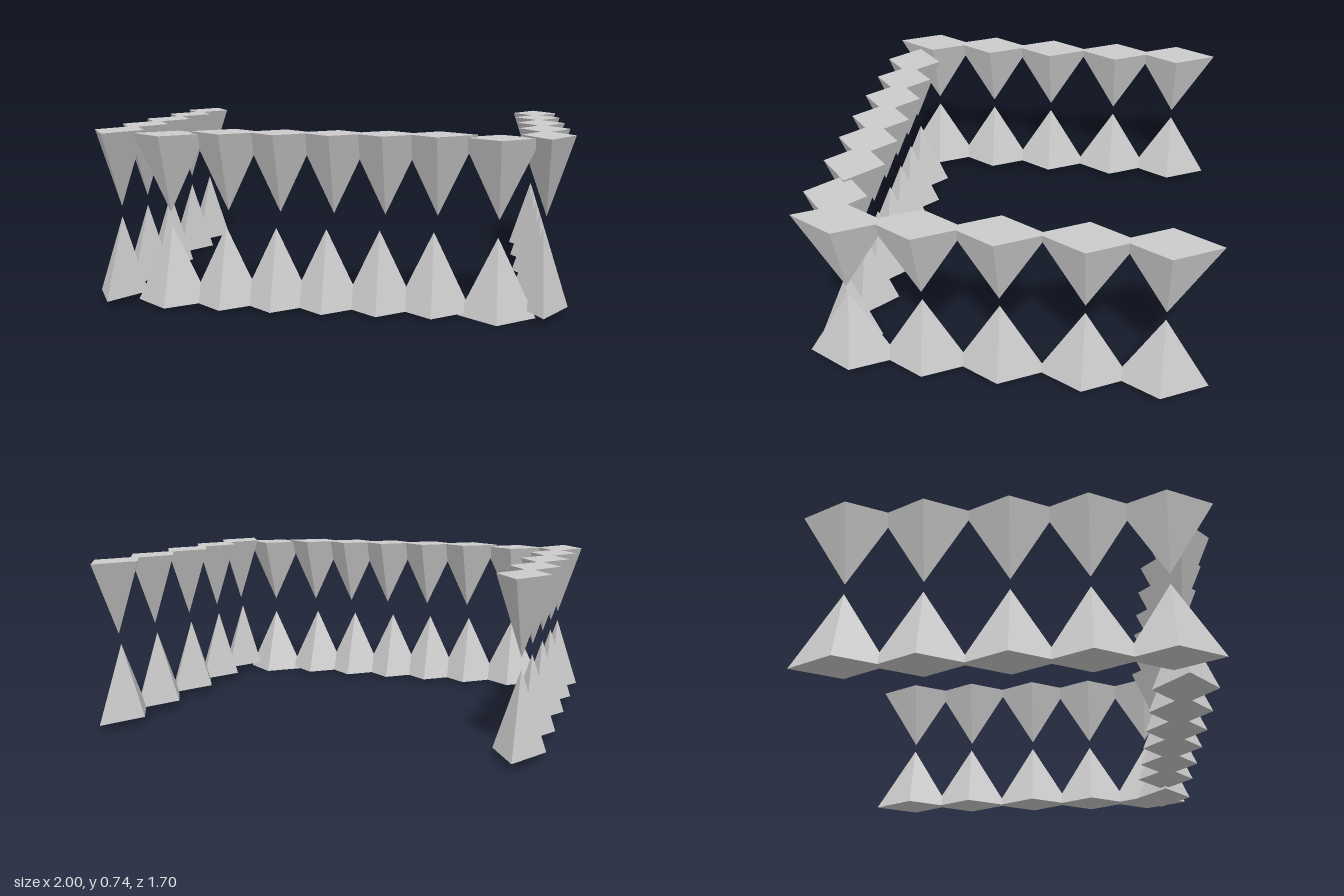
import * as THREE from 'three';

const material = new THREE.MeshStandardMaterial({ color: 0xcccccc, flatShading: true });
// four-sided pyramid with a diamond base, base at y = 0, tip up
const pyramid = new THREE.ConeGeometry(1, 1, 4).translate(0, 0.5, 0);

// dir = 1 points up from its base, dir = -1 hangs down from it
function tooth(name, x, base, z, halfX, height, halfZ, dir) {
  const mesh = new THREE.Mesh(pyramid, material);
  mesh.name = name;
  mesh.position.set(x, base, z);
  mesh.scale.set(halfX, height, halfZ);
  if (dir < 0) mesh.rotation.x = Math.PI;
  return mesh;
}

export function createModel() {
  const model = new THREE.Group();
  model.name = 'teeth';
  const upper = new THREE.Group();
  upper.name = 'upperTeeth';
  const lower = new THREE.Group();
  lower.name = 'lowerTeeth';
  model.add(upper, lower);

  // side rows, running front to back
  for (const side of [-1, 1]) {
    const label = side > 0 ? 'left' : 'right';
    for (const z of [0.642, 0.33, 0.01, -0.337, -0.658]) {
      upper.add(tooth(label + 'UpperTooth', side * 0.892, 0.732, z, 0.108, 0.328, 0.197, -1));
      const x = side > 0 ? 0.882 : -0.892;
      lower.add(tooth(label + 'LowerTooth', x, 0.034, z, 0.106, 0.326, 0.197, 1));
    }
  }

  // front row, the two end teeth set slightly lower and further forward
  const upperX = [-0.65, -0.405, -0.185, 0.038, 0.248, 0.46, 0.705];
  const lowerX = [-0.65, -0.418, -0.205, 0.005, 0.225, 0.445, 0.702];
  upperX.forEach((x, i) => {
    const end = i === 0 || i === 6;
    upper.add(tooth('frontUpperTooth', x, end ? 0.725 : 0.735, end ? 0.713 : 0.705, 0.155, 0.328, 0.136, -1));
  });
  lowerX.forEach((x, i) => {
    const base = i === 6 ? 0 : 0.014;
    lower.add(tooth('frontLowerTooth', x, base, i === 6 ? 0.708 : 0.7, 0.156, 0.325, 0.136, 1));
  });
  return model;
}
